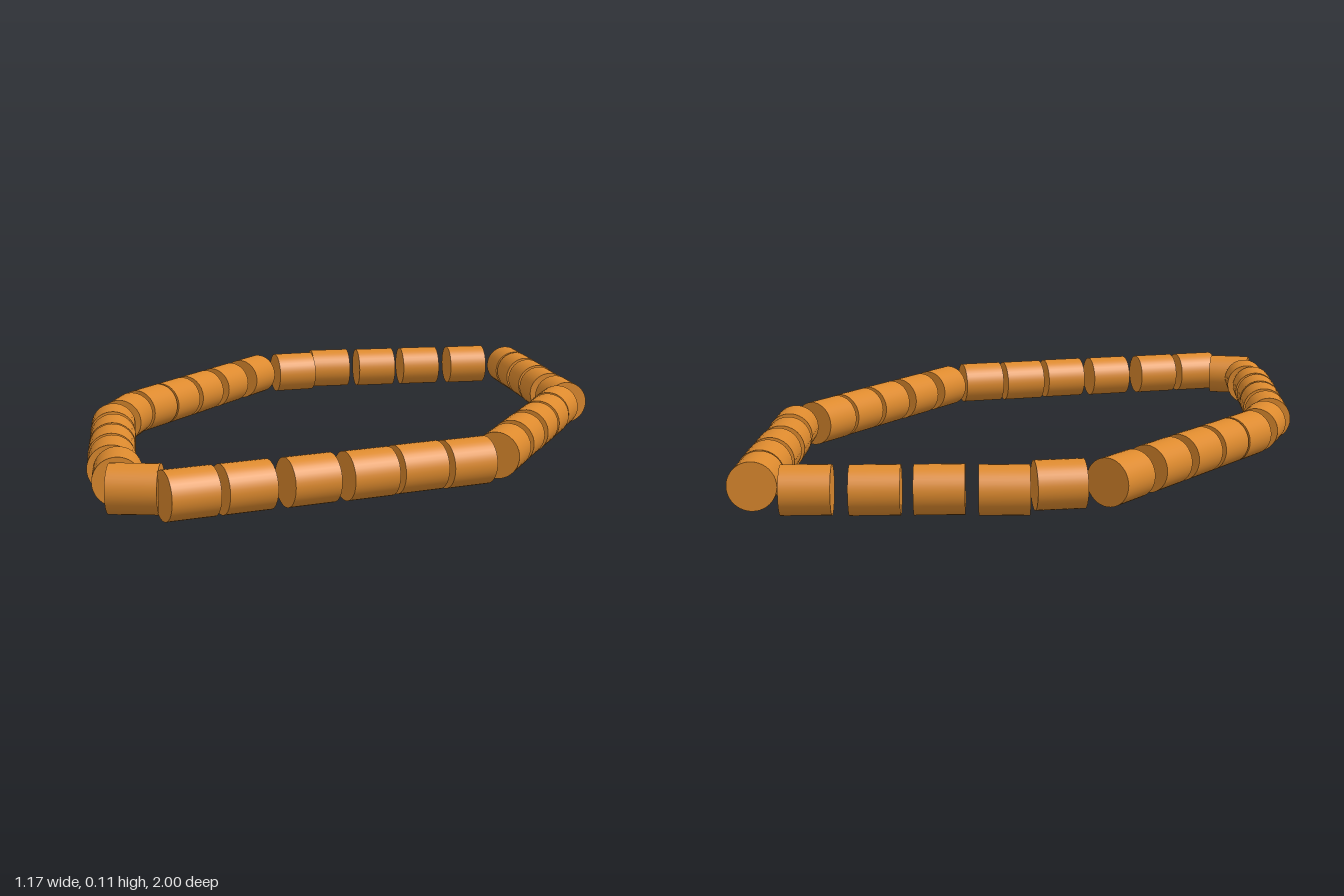
import * as THREE from 'three';

const RADIUS = 0.056;
const LENGTH = 0.112;
const CENTRE_Y = 0.062;

// Each side of the ring: heading of the bead axes (x, z) and the bead centres [x, z]
const SIDES = [
  { name: 'leftFlank', axis: [2, 20], beads: [[0.521, 0.222], [0.505, 0.074], [0.492, -0.069], [0.479, -0.196], [0.463, -0.323]] },
  { name: 'backLeft', axis: [12, 17], beads: [[0.431, -0.481], [0.341, -0.603], [0.265, -0.717], [0.188, -0.828], [0.117, -0.926]] },
  { name: 'backRight', axis: [-17, 13], beads: [[-0.034, -0.923], [-0.156, -0.836], [-0.267, -0.751], [-0.384, -0.672]] },
  { name: 'backRightCorner', axis: [-14, 14], beads: [[-0.452, -0.561]] },
  { name: 'rightFlank', axis: [0, 1], beads: [[-0.53, -0.43], [-0.53, -0.265], [-0.53, -0.12], [-0.53, 0.01], [-0.53, 0.13]] },
  { name: 'frontRightCorner', axis: [6, 20], beads: [[-0.51, 0.27]] },
  { name: 'frontRight', axis: [11, 17], beads: [[-0.455, 0.413], [-0.378, 0.53], [-0.31, 0.635], [-0.238, 0.743], [-0.156, 0.843]] },
  { name: 'frontTip', axis: [19, -8], beads: [[-0.056, 0.926]] },
  { name: 'frontLeft', axis: [13, -17], beads: [[0.066, 0.91], [0.146, 0.806], [0.241, 0.688], [0.331, 0.577], [0.405, 0.471], [0.484, 0.374]] },
];

export function createModel() {
  const model = new THREE.Group();
  model.name = 'beadRing';
  const material = new THREE.MeshStandardMaterial({ color: 0xdd8a2e });

  // One short cylinder lying along z, shared by every bead
  const beadGeometry = new THREE.CylinderGeometry(RADIUS, RADIUS, LENGTH, 40);
  beadGeometry.rotateX(Math.PI / 2);

  for (const { name, axis, beads } of SIDES) {
    const side = new THREE.Group();
    side.name = name;
    beads.forEach(([x, z], i) => {
      const bead = new THREE.Mesh(beadGeometry, material);
      bead.name = `${name}Bead${i + 1}`;
      bead.position.set(x, CENTRE_Y, z);
      bead.rotation.y = Math.atan2(axis[0], axis[1]);
      side.add(bead);
    });
    model.add(side);
  }
  return model;
}
